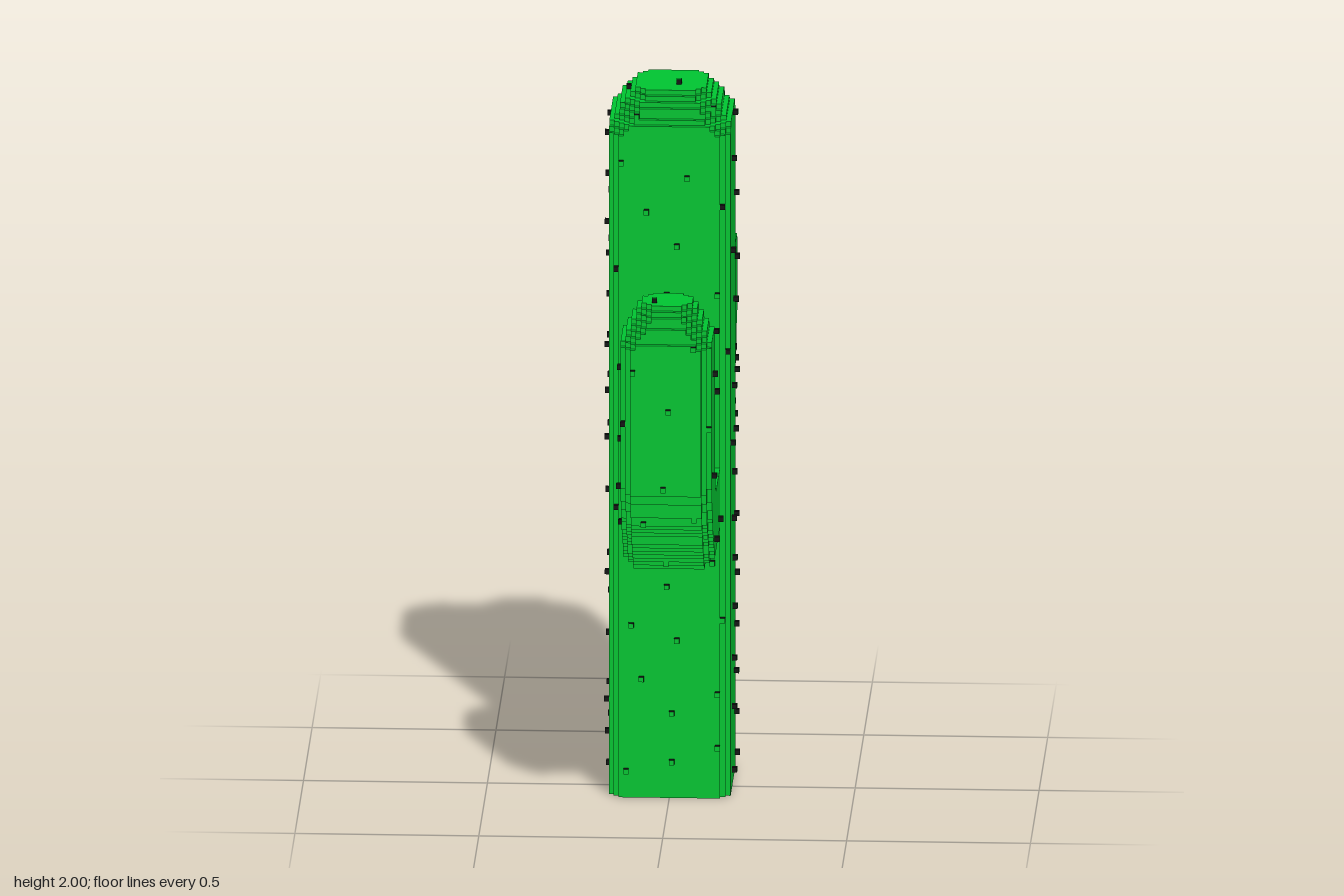
import * as THREE from 'three';
import { mergeGeometries } from 'three/addons/utils/BufferGeometryUtils.js';

const V = 2 / 145;               // size of one block
const OFFSET = [0.5, 0.5, 0];    // block centres relative to the lattice
const LOW = [-14, 0, -48], HIGH = [14, 146, 48];

// Trunk: square column with bevelled edges and an octagonal domed top
function insideTrunk(x, y, z) {
  const ax = Math.abs(x), az = Math.abs(z + 3.5 * V);
  return y < 144 * V &&
    Math.max(ax, az) < 0.166 - 0.72 * Math.max(0, y - 1.89) &&
    ax + az < 0.297 - 1.27 * Math.max(0, y - 1.87);
}

// Signed distance to a side outline of [z, y] points, positive inside
function depthInOutline(outline, z, y) {
  let best = Infinity, inside = false;
  outline.forEach(([az, ay], i) => {
    const [bz, by] = outline[(i + 1) % outline.length];
    const dz = bz - az, dy = by - ay;
    const t = Math.min(1, Math.max(0, ((z - az) * dz + (y - ay) * dy) / (dz * dz + dy * dy)));
    best = Math.min(best, Math.hypot(z - az - t * dz, y - ay - t * dy));
    if ((ay > y) !== (by > y) && z < az + (y - ay) / dy * dz) inside = !inside;
  });
  return inside ? best : -best;
}

// Arm: side outline given thickness along x, with bevelled edges and a narrowed tip
function armTest(outline, centreX, halfWidth, tipZ, tipY) {
  return (x, y, z) => {
    const ax = Math.abs(x - centreX);
    const rise = Math.max(0, y - (tipY - 0.12));
    if (ax > halfWidth - 0.5 * rise) return false;
    if (rise > 0 && ax + Math.abs(z - tipZ) > halfWidth + 0.085 - rise) return false;
    return depthInOutline(outline, z, y) > Math.max(0, ax - (halfWidth - 0.035));
  };
}

const frontArm = armTest([
  [0.0, 0.745], [0.42, 0.745], [0.46, 0.775], [0.58, 0.91], [0.625, 1.02], [0.625, 1.42],
  [0.6, 1.5], [0.56, 1.535], [0.46, 1.535], [0.42, 1.48], [0.395, 1.4], [0.395, 1.03],
  [0.335, 0.97], [0.0, 0.97],
], V, 9 * V, 0.51, 1.535);

const backArm = armTest([
  [0.0, 0.92], [-0.4, 0.92], [-0.45, 0.95], [-0.555, 1.05], [-0.595, 1.14], [-0.625, 1.17],
  [-0.625, 1.44], [-0.595, 1.48], [-0.56, 1.495], [-0.45, 1.495], [-0.395, 1.46],
  [-0.38, 1.37], [-0.355, 1.25], [-0.345, 1.195], [0.0, 1.195],
], 0, 11 * V, -0.505, 1.495);

const centreOf = (c) => c.map((n, i) => (n + OFFSET[i]) * V);

// Collect the solid blocks of one part
function fillBlocks(test) {
  const solid = new Set();
  for (let i = LOW[0]; i <= HIGH[0]; i++)
    for (let j = LOW[1]; j <= HIGH[1]; j++)
      for (let k = LOW[2]; k <= HIGH[2]; k++)
        if (test(...centreOf([i, j, k]))) solid.add([i, j, k].join());
  return solid;
}

// Skin the blocks, joining exposed faces into long strips
function skin(solid, exposed) {
  const pos = [], nor = [];
  for (let a = 0; a < 3; a++) for (const sign of [1, -1]) {
    const u = a === 1 ? 0 : 1, w = 3 - a - u;
    const flip = (a === 0 ? 1 : -1) * sign < 0;
    const n = [0, 0, 0];
    n[a] = sign;
    for (let p = LOW[a]; p <= HIGH[a]; p++) for (let q = LOW[w]; q <= HIGH[w]; q++) {
      let start = null;
      for (let r = LOW[u]; r <= HIGH[u] + 1; r++) {
        const cell = [0, 0, 0];
        cell[a] = p; cell[w] = q; cell[u] = r;
        const next = cell.slice();
        next[a] += sign;
        if (solid.has(cell.join()) && !solid.has(next.join())) {
          exposed.push({ next, normal: n });
          if (start === null) start = r;
        } else if (start !== null) {
          const corner = (cu, cw) => {
            const c = [0, 0, 0];
            c[a] = (p + OFFSET[a] + sign / 2) * V;
            c[u] = (cu + OFFSET[u] - 0.5) * V;
            c[w] = (cw + OFFSET[w] - 0.5) * V;
            return c;
          };
          const ring = [corner(start, q), corner(r, q), corner(r, q + 1), corner(start, q + 1)];
          if (flip) ring.reverse();
          for (const i of [0, 1, 2, 0, 2, 3]) { pos.push(...ring[i]); nor.push(...n); }
          start = null;
        }
      }
    }
  }
  const geo = new THREE.BufferGeometry();
  geo.setAttribute('position', new THREE.Float32BufferAttribute(pos, 3));
  geo.setAttribute('normal', new THREE.Float32BufferAttribute(nor, 3));
  return geo;
}

// Small seeded generator for scattering the spines
function seeded(seed) {
  return () => {
    seed = (seed * 1664525 + 1013904223) % 4294967296;
    return seed / 4294967296;
  };
}

// Choose evenly spaced spine places on the exposed faces, each a matrix with y outward
function spinePlaces(exposed, allSolid, spacing) {
  const rand = seeded(7), points = [], places = [];
  const up = new THREE.Vector3(0, 1, 0), one = new THREE.Vector3(1, 1, 1);
  const order = exposed.map((face) => ({ face, key: rand() })).sort((p, q) => p.key - q.key);
  for (const { face: { next, normal } } of order) {
    if (next[1] < 2 || allSolid.some((s) => s.has(next.join()))) continue;
    const c = new THREE.Vector3(...centreOf(next));
    if (points.some((o) => o.distanceTo(c) < spacing)) continue;
    points.push(c);
    const turn = new THREE.Quaternion().setFromUnitVectors(up, new THREE.Vector3(...normal));
    places.push(new THREE.Matrix4().compose(c, turn, one));
  }
  return places;
}

export function createModel() {
  const green = new THREE.MeshStandardMaterial({ color: 0x00c832 });
  green.name = 'cactus green';
  const dark = new THREE.MeshStandardMaterial({ color: 0x111111 });
  dark.name = 'spine black';

  const group = new THREE.Group();
  group.name = 'cactus';
  const add = (name, geometry, material) => {
    const mesh = new THREE.Mesh(geometry, material);
    mesh.name = name;
    group.add(mesh);
  };

  const exposed = [], allSolid = [];
  for (const [name, test] of [['trunk', insideTrunk], ['frontArm', frontArm], ['backArm', backArm]]) {
    // arms keep only the blocks outside the trunk
    const solid = fillBlocks(name === 'trunk' ? test :
      (x, y, z) => test(x, y, z) && !insideTrunk(x, y, z));
    allSolid.push(solid);
    add(name, skin(solid, exposed), green);
  }

  // Spines: one-block stubs with dark sides and green ends
  const sides = new THREE.CylinderGeometry(V / Math.SQRT2, V / Math.SQRT2, V, 4, 1, true)
    .rotateY(Math.PI / 4).toNonIndexed();
  sides.computeVertexNormals();
  const tip = new THREE.PlaneGeometry(V, V).rotateX(-Math.PI / 2).translate(0, V / 2, 0);
  const places = spinePlaces(exposed, allSolid, 0.125);
  const repeat = (geo) => mergeGeometries(places.map((m) => geo.clone().applyMatrix4(m)));
  add('spineSides', repeat(sides), dark);
  add('spineTips', repeat(tip), green);
  return group;
}
